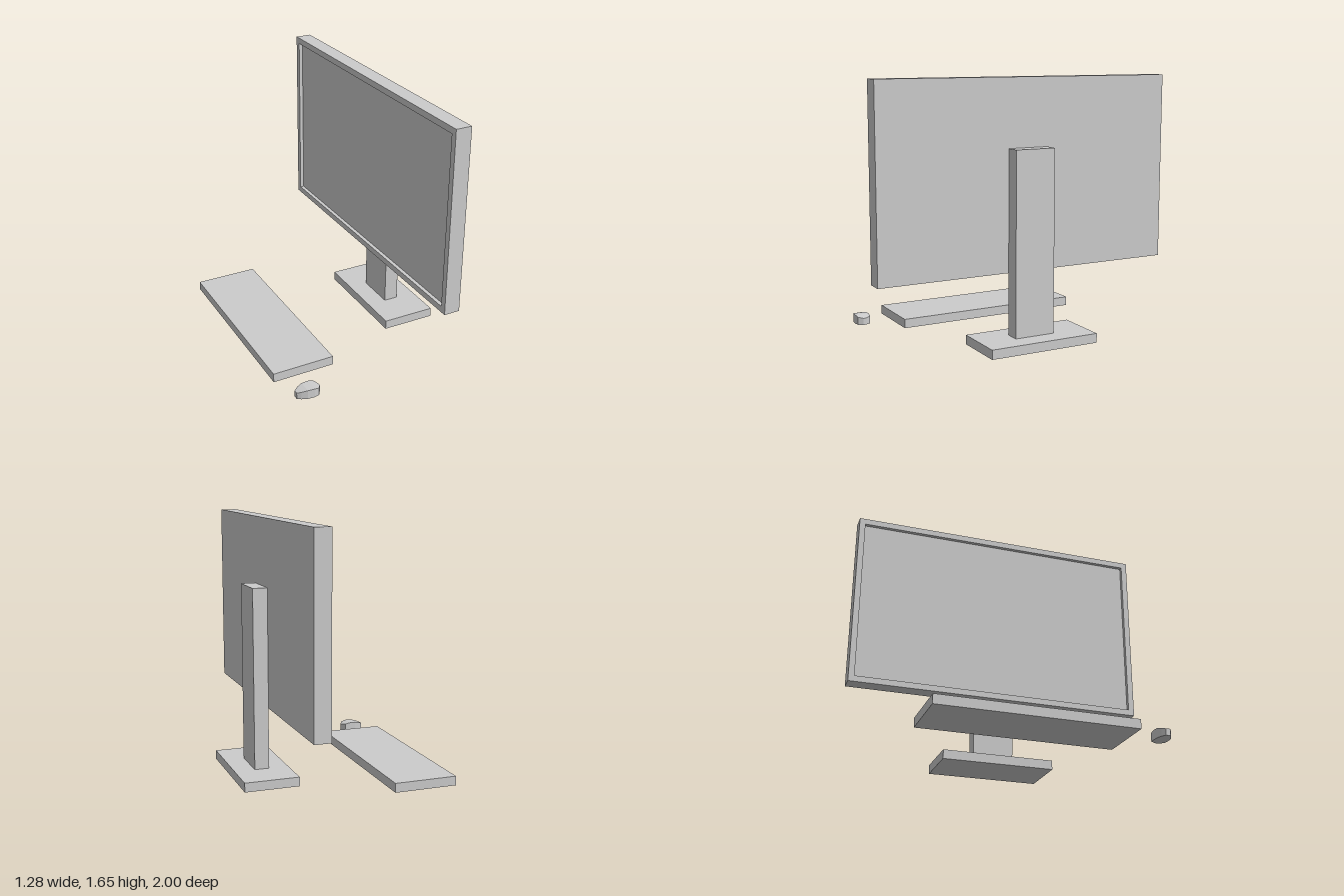
import * as THREE from 'three';

const material = new THREE.MeshStandardMaterial({ color: 0xcccccc, flatShading: true });

// Box given by its extents along each axis
function box(name, [x0, x1], [y0, y1], [z0, z1], parent) {
  const mesh = new THREE.Mesh(new THREE.BoxGeometry(x1 - x0, y1 - y0, z1 - z0), material);
  mesh.name = name;
  mesh.position.set((x0 + x1) / 2, (y0 + y1) / 2, (z0 + z1) / 2);
  parent.add(mesh);
  return mesh;
}

// Rectangle path, centred on the origin
function rectangle(path, w, h) {
  path.moveTo(-w / 2, -h / 2);
  path.lineTo(w / 2, -h / 2);
  path.lineTo(w / 2, h / 2);
  path.lineTo(-w / 2, h / 2);
  path.closePath();
  return path;
}

// Display: solid panel behind a raised rim, facing -x
function createDisplay() {
  const display = new THREE.Group();
  display.name = 'display';
  const depth = 0.105, recess = 0.025, rim = 0.04, w = 2, h = 1.2;
  box('displayPanel', [-depth / 2 + recess, depth / 2], [-h / 2, h / 2], [-w / 2, w / 2], display);
  const shape = rectangle(new THREE.Shape(), w, h);
  shape.holes.push(rectangle(new THREE.Path(), w - 2 * rim, h - 2 * rim));
  const geometry = new THREE.ExtrudeGeometry(shape, { depth: recess, bevelEnabled: false });
  geometry.rotateY(-Math.PI / 2);
  geometry.translate(-depth / 2 + recess, 0, 0);
  const bezel = new THREE.Mesh(geometry, material);
  bezel.name = 'displayBezel';
  display.add(bezel);
  display.position.set(0.361, 1.055, 0);
  display.rotation.y = 0.003;
  return display;
}

// Mouse: cross-sections along x, each [x, zMin, zMax, height]
function createMouse() {
  const sections = [
    [-0.58, 0.76, 0.79, 0.042],
    [-0.555, 0.744, 0.806, 0.051],
    [-0.52, 0.733, 0.82, 0.06],
    [-0.475, 0.73, 0.823, 0.06],
    [-0.442, 0.731, 0.816, 0.052],
    [-0.422, 0.765, 0.785, 0.045],
  ];
  const positions = [], index = [];
  for (const [x, z0, z1, h] of sections) {
    positions.push(x, 0, z0, x, 0, z1, x, h, z1, x, h, z0);
  }
  const quad = (a, b, c, d) => index.push(a, b, c, a, c, d);
  const last = (sections.length - 1) * 4;
  for (let s = 0; s < last; s += 4) {
    for (let i = 0; i < 4; i++) {
      const j = (i + 1) % 4;
      quad(s + i, s + 4 + i, s + 4 + j, s + j);
    }
  }
  quad(0, 1, 2, 3);
  quad(last + 3, last + 2, last + 1, last);
  const geometry = new THREE.BufferGeometry();
  geometry.setAttribute('position', new THREE.Float32BufferAttribute(positions, 3));
  geometry.setIndex(index);
  geometry.computeVertexNormals();
  const mouse = new THREE.Mesh(geometry, material);
  mouse.name = 'mouse';
  return mouse;
}

export function createModel() {
  const model = new THREE.Group();
  model.name = 'desktopComputer';
  model.add(createDisplay());

  // Stand behind the display
  box('standBase', [0.285, 0.64], [0, 0.06], [-0.366, 0.373], model);
  box('standColumn', [0.413, 0.508], [0.06, 1.225], [-0.129, 0.14], model);

  // Keyboard slab, very slightly turned
  const keyboard = box('keyboard', [-0.637, -0.224], [0, 0.06], [-0.68, 0.573], model);
  keyboard.rotation.y = 0.006;

  model.add(createMouse());
  return model;
}
